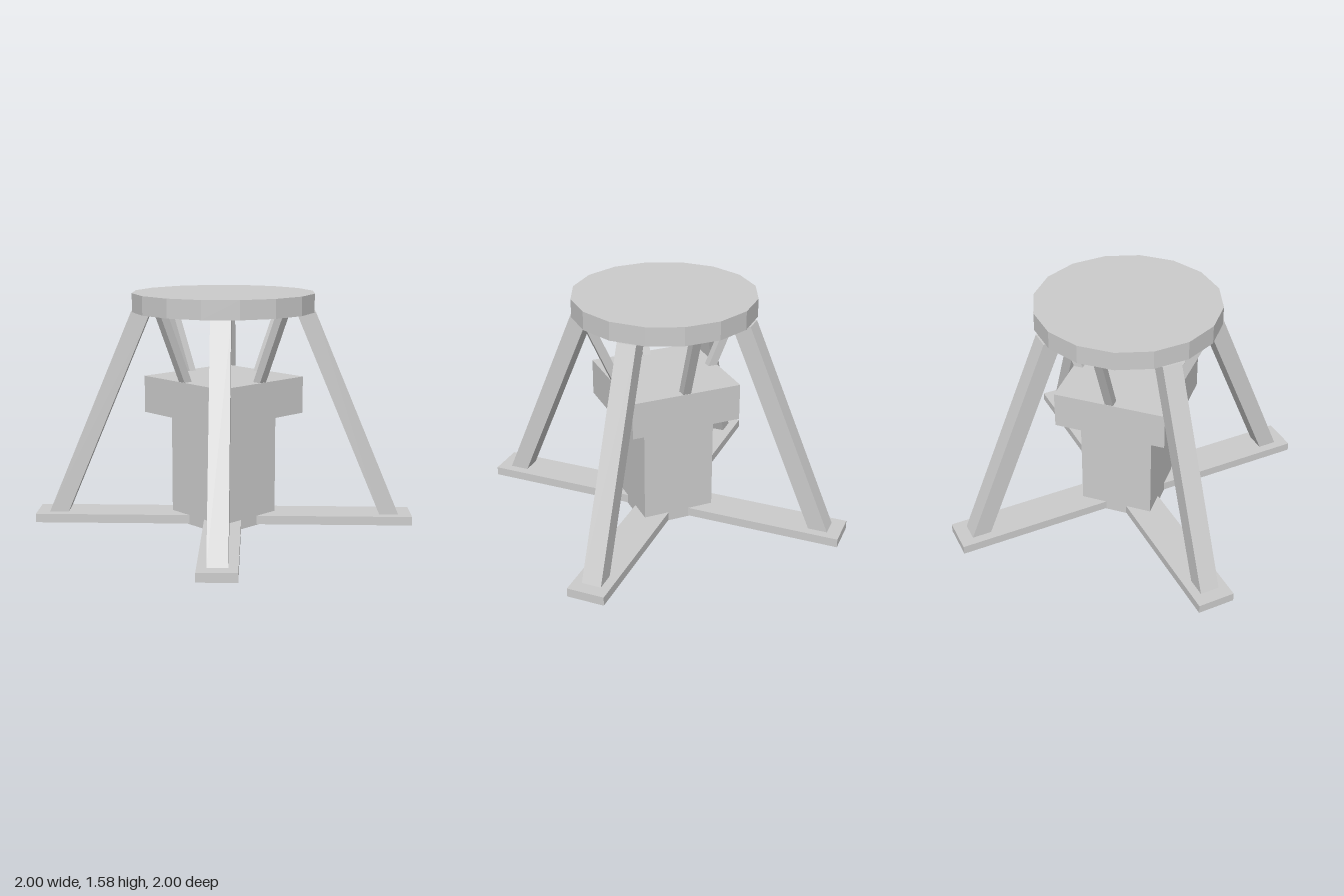
import * as THREE from 'three';

const material = new THREE.MeshStandardMaterial({ color: 0xcccccc, flatShading: true });

function add(parent, name, geometry, y = 0) {
  const mesh = new THREE.Mesh(geometry, material);
  mesh.name = name;
  mesh.position.y = y;
  parent.add(mesh);
  return mesh;
}

// Slanted beam with level ends: a box sheared between two centre points.
// Runs outward along +z; "lean" moves its upper end sideways.
function slantedBeam(width, depth, y0, z0, y1, z1, lean = 0) {
  const geometry = new THREE.BoxGeometry(width, y1 - y0, depth);
  geometry.translate(0, (y0 + y1) / 2, 0);
  const p = geometry.attributes.position;
  for (let i = 0; i < p.count; i++) {
    const t = (p.getY(i) - y0) / (y1 - y0);
    p.setX(i, p.getX(i) + lean * t);
    p.setZ(i, p.getZ(i) + z0 + (z1 - z0) * t);
  }
  geometry.computeVertexNormals();
  return geometry;
}

export function createModel() {
  const model = new THREE.Group();
  model.name = 'stool';

  // Sixteen-sided seat with flats facing the axes
  const seatRadius = 0.603 / Math.cos(Math.PI / 16);
  const seat = new THREE.CylinderGeometry(seatRadius, seatRadius, 0.125, 16, 1, false, Math.PI / 16);
  add(model, 'seat', seat, 1.5175);

  // Central column and the wider block on top of it
  add(model, 'column', new THREE.BoxGeometry(0.5, 0.76, 0.5), 0.38);
  add(model, 'columnHead', new THREE.BoxGeometry(0.76, 0.25, 0.76), 0.885);

  // Crossed floor bars on the diagonals
  for (const side of [-1, 1]) {
    const bar = add(model, 'footBar', new THREE.BoxGeometry(0.25, 0.06, 2.575), 0.035);
    bar.rotation.y = side * Math.PI / 4;
  }

  for (let i = 0; i < 4; i++) {
    // Outer leg from the floor bar up to the seat rim
    const leg = add(model, 'leg', slantedBeam(0.13, 0.13, 0.065, 1.135, 1.455, 0.55));
    leg.rotation.y = Math.PI / 4 + i * Math.PI / 2;

    // Inner strut from the column head up to the seat
    const lean = i === 1 ? -0.02 : 0;
    const strut = add(model, 'strut', slantedBeam(0.056, 0.063, 1.01, 0.345, 1.455, 0.54, lean));
    strut.rotation.y = i * Math.PI / 2;
  }
  return model;
}
